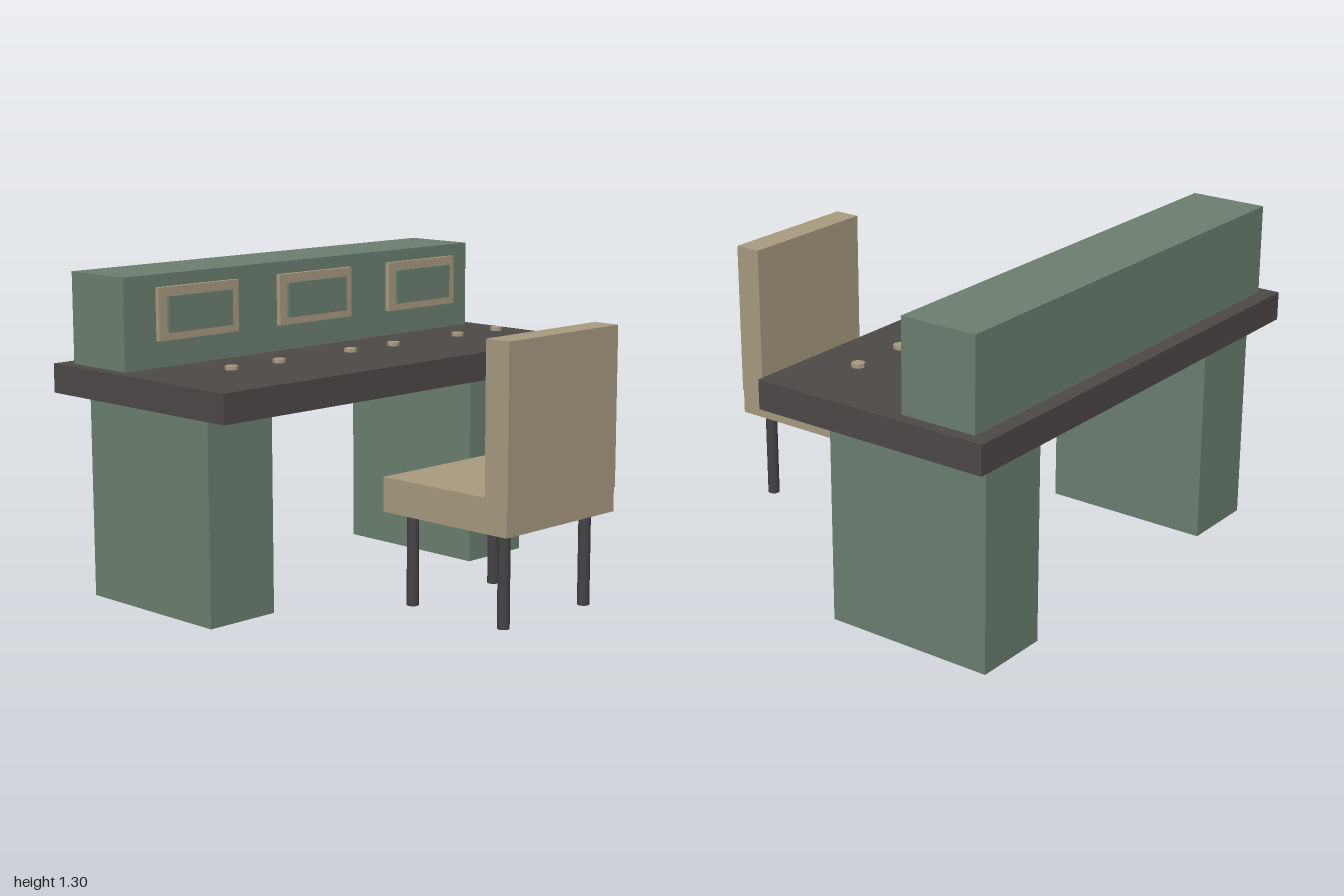
import * as THREE from 'three';

const mat = (name, color) => {
  const m = new THREE.MeshStandardMaterial({ color });
  m.name = name;
  return m;
};

export function createModel() {
  const green = mat('sage green', 0x6c7f70);
  const dark = mat('dark brown grey', 0x4d4947);
  const tan = mat('tan', 0xa89b80);
  const legGrey = mat('leg grey', 0x454345);

  const model = new THREE.Group();
  model.name = 'controlDesk';

  const add = (parent, name, geometry, material) => {
    const mesh = new THREE.Mesh(geometry, material);
    mesh.name = name;
    parent.add(mesh);
    return mesh;
  };
  // Box given by its extents on each axis
  const box = (parent, name, material, [x0, x1], [y0, y1], [z0, z1]) =>
    add(parent, name, new THREE.BoxGeometry(x1 - x0, y1 - y0, z1 - z0), material)
      .position.set((x0 + x1) / 2, (y0 + y1) / 2, (z0 + z1) / 2);

  // Desk: top, two pedestals and the raised console
  const desk = new THREE.Group();
  desk.name = 'desk';
  model.add(desk);
  box(desk, 'deskTop', dark, [-1, 1], [0.825, 0.94], [-0.87, 0.13]);
  box(desk, 'rightPedestal', green, [-0.88, -0.56], [0, 0.825], [-0.8, -0.1]);
  box(desk, 'leftPedestal', green, [0.56, 0.88], [0, 0.825], [-0.8, -0.1]);
  box(desk, 'console', green, [-0.95, 0.95], [0.94, 1.3], [-0.805, -0.49]);

  // Three framed screens, each with a pair of knobs below
  const knobGeometry = new THREE.CylinderGeometry(0.026, 0.026, 0.015, 8).toNonIndexed();
  knobGeometry.computeVertexNormals();
  for (const x of [-0.62, 0, 0.62]) {
    const station = new THREE.Group();
    station.name = 'station';
    station.position.x = x;
    desk.add(station);
    box(station, 'screenFrame', tan, [-0.2, 0.2], [1.05, 1.255], [-0.46, -0.44]);
    box(station, 'screen', green, [-0.16, 0.16], [1.08, 1.22], [-0.44, -0.428]);
    for (const dx of [-0.12, 0.12])
      add(station, 'knob', knobGeometry, tan).position.set(dx, 0.977, -0.12);
  }

  // Chair facing the desk
  const chair = new THREE.Group();
  chair.name = 'chair';
  model.add(chair);
  box(chair, 'seat', tan, [-0.308, 0.308], [0.415, 0.55], [0.245, 0.865]);
  box(chair, 'backrest', tan, [-0.308, 0.308], [0.51, 1.13], [0.76, 0.87]);
  const legGeometry = new THREE.CylinderGeometry(0.024, 0.024, 0.365, 12);
  for (const x of [-0.231, 0.231])
    for (const z of [0.327, 0.788])
      add(chair, 'chairLeg', legGeometry, legGrey).position.set(x, 0.2325, z);

  return model;
}
